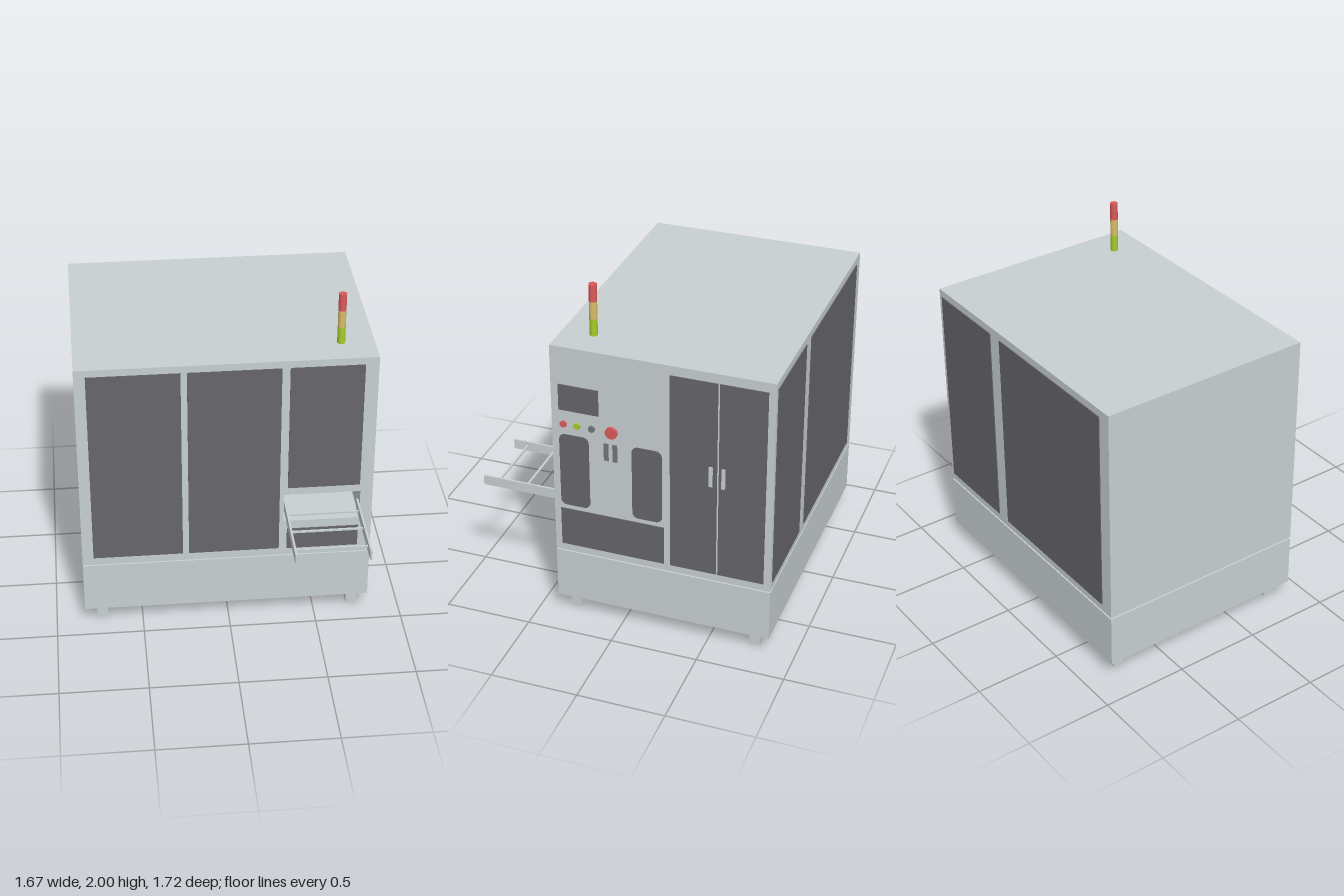
import * as THREE from 'three';

const mat = (color) => new THREE.MeshStandardMaterial({ color });

export function createModel() {
  const root = new THREE.Group();
  const shell = mat(0xc8d0d2), dark = mat(0x66666b), grey = mat(0x73777a);
  const red = mat(0xdb5a5a), yellow = mat(0xd9bd68), green = mat(0xa6cc2a);
  const X0 = -0.835, X1 = 0.815, Z0 = -0.855, Z1 = 0.392;

  const add = (name, geo, material, x = 0, y = 0, z = 0) => {
    const m = new THREE.Mesh(geo, material);
    m.name = name;
    m.position.set(x, y, z);
    root.add(m);
    return m;
  };
  // box given by its extents
  const box = (name, material, x0, x1, y0, y1, z0, z1) =>
    add(name, new THREE.BoxGeometry(x1 - x0, y1 - y0, z1 - z0), material,
      (x0 + x1) / 2, (y0 + y1) / 2, (z0 + z1) / 2);
  const rect = (P, x0, x1, y0, y1) =>
    new P([[x0, y0], [x1, y0], [x1, y1], [x0, y1]].map((p) => new THREE.Vector2(...p)));

  // cabinet: front block with the loading slot cut through, solid block behind
  const depth = 0.4;
  const front = rect(THREE.Shape, X0, X1, 0.42, 1.7);
  front.holes.push(rect(THREE.Path, 0.312, 0.745, 0.65, 0.83));
  add('cabinetFront', new THREE.ExtrudeGeometry(front, { depth, bevelEnabled: false }), shell, 0, 0, Z1 - depth);
  box('cabinetRear', shell, X0, X1, 0.42, 1.7, Z0, Z1 - depth);
  box('slotBack', dark, 0.312, 0.745, 0.65, 0.83, Z1 - depth, Z1 - depth + 0.005);

  // plinth, seam and feet
  box('seam', shell, X0 + 0.01, X1 - 0.01, 0.405, 0.425, Z0 + 0.01, Z1 - 0.01);
  box('plinth', shell, X0, X1, 0.1, 0.408, Z0, Z1);
  for (const x of [-0.732, 0.73])
    for (const z of [0.307, -0.76]) box('foot', shell, x - 0.031, x + 0.031, 0, 0.1, z - 0.031, z + 0.031);

  // front and back panels
  for (const [x0, x1, y0, y1] of [
    [-0.772, -0.262, 0.465, 1.658], [-0.227, 0.287, 0.465, 1.658],
    [0.332, 0.74, 0.878, 1.658], [0.332, 0.74, 0.462, 0.597],
  ]) box('frontPanel', dark, x0, x1, y0, y1, Z1 - 0.002, Z1 + 0.005);
  for (const [x0, x1] of [[-0.755, 0.187], [0.28, 0.788]])
    box('backPanel', dark, x0, x1, 0.465, 1.658, Z0 - 0.005, Z0 + 0.002);

  // control side: doors, screen, lower panel, slots, handles
  const side = (name, material, z0, z1, y0, y1, out = 0.005) =>
    box(name, material, X1 - 0.002, X1 + out, y0, y1, z0, z1);
  side('door', dark, -0.545, -0.282, 0.46, 1.645);
  side('door', dark, -0.815, -0.555, 0.46, 1.645);
  side('screen', dark, 0.12, 0.349, 1.32, 1.475);
  side('lowerPanel', dark, -0.247, 0.354, 0.46, 0.695);
  for (const z of [0.08, 0.03]) side('cardSlot', grey, z - 0.013, z + 0.013, 1.055, 1.16, 0.007);
  for (const z of [-0.512, -0.582]) side('doorHandle', shell, z - 0.01, z + 0.01, 1.02, 1.14, 0.013);

  // rounded windows
  const w = 0.085, h = 0.224, r = 0.035;
  const pane = new THREE.Shape();
  pane.moveTo(-w + r, -h);
  pane.absarc(w - r, -h + r, r, -Math.PI / 2, 0);
  pane.absarc(w - r, h - r, r, 0, Math.PI / 2);
  pane.absarc(-w + r, h - r, r, Math.PI / 2, Math.PI);
  pane.absarc(-w + r, -h + r, r, Math.PI, Math.PI * 1.5);
  const paneGeo = new THREE.ExtrudeGeometry(pane, { depth: 0.007, bevelEnabled: false });
  paneGeo.rotateY(Math.PI / 2);
  for (const z of [0.266, -0.151]) add('roundedWindow', paneGeo, dark, X1 - 0.002, 0.947, z);

  // push buttons and emergency stop
  for (const [name, material, z, radius, out] of [
    ['redButton', red, 0.324, 0.019, 0.01], ['greenButton', green, 0.245, 0.019, 0.01],
    ['greyButton', grey, 0.161, 0.019, 0.01], ['emergencyStop', red, 0.047, 0.034, 0.016],
  ]) {
    const geo = new THREE.CylinderGeometry(radius, radius, out, 32).rotateZ(-Math.PI / 2);
    add(name, geo, material, X1 + out / 2, 1.235, z);
  }

  // signal tower
  [green, yellow, red].forEach((material, i) =>
    add('signalLight', new THREE.CylinderGeometry(0.022, 0.022, 0.1, 32), material, 0.63, 1.75 + i * 0.1, 0.213));

  // loading rack
  for (const x of [0.325, 0.737]) box('rackRail', shell, x - 0.006, x + 0.006, 0.692, 0.75, 0.35, 0.855);
  for (const z of [0.437, 0.602, 0.77]) box('rackRung', shell, 0.33, 0.732, 0.718, 0.728, z - 0.006, z + 0.006);

  return root;
}
